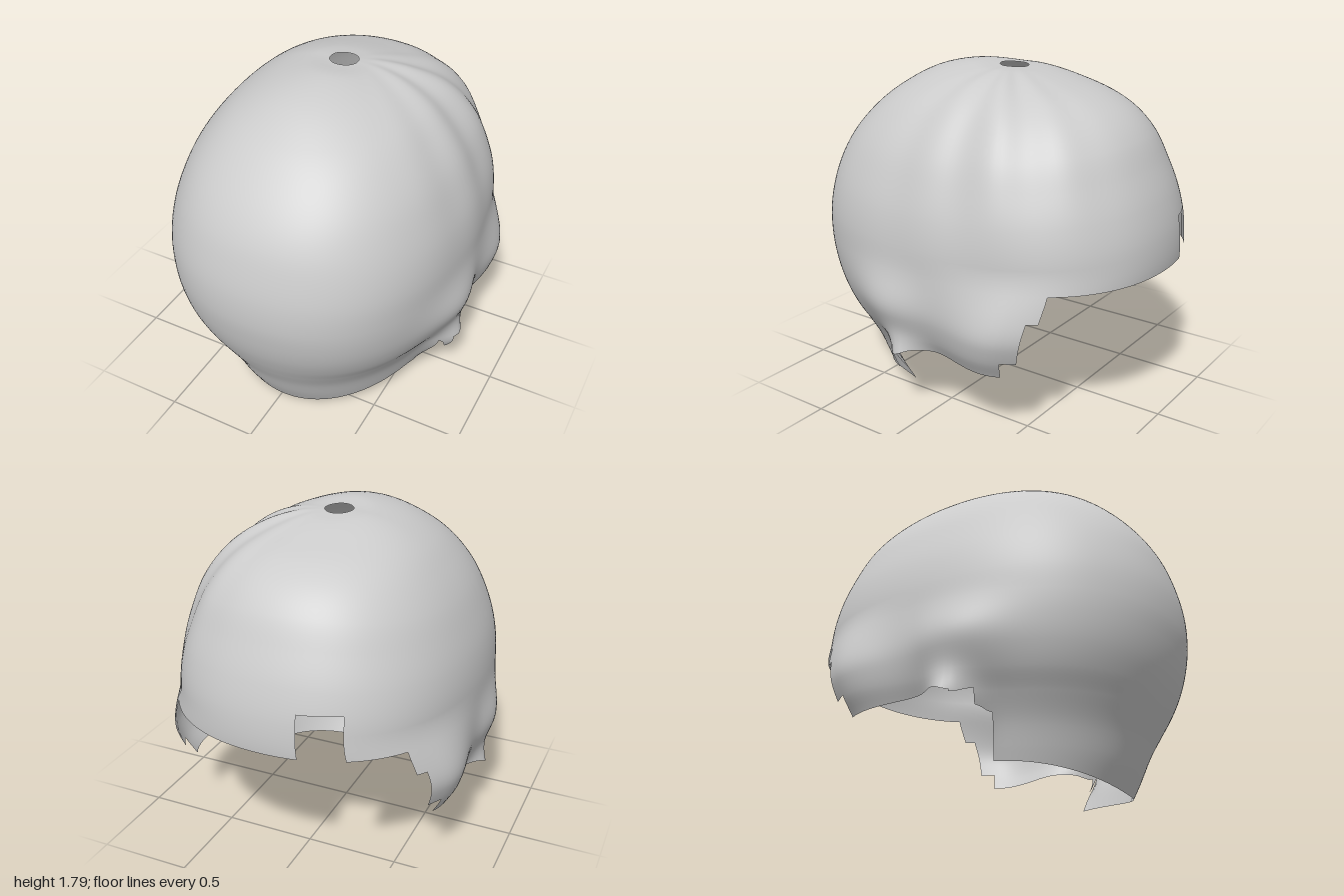
import * as THREE from 'three';

// Profile rows from the crown down: front z, y | side x, y | back z, y
const ROWS = [
  [0.005, 1.78, 0.075, 1.775, -0.145, 1.77],
  [0.16, 1.79, 0.19, 1.765, -0.25, 1.755],
  [0.4, 1.74, 0.34, 1.715, -0.42, 1.71],
  [0.6, 1.63, 0.475, 1.63, -0.6, 1.65],
  [0.74, 1.51, 0.58, 1.52, -0.73, 1.57],
  [0.85, 1.38, 0.665, 1.395, -0.82, 1.47],
  [0.92, 1.26, 0.73, 1.25, -0.895, 1.32],
  [0.965, 1.13, 0.775, 1.11, -0.955, 1.17],
  [0.995, 0.98, 0.797, 0.97, -0.995, 1.0],
  [0.998, 0.83, 0.797, 0.83, -1.0, 0.83],
  [0.978, 0.7, 0.787, 0.7, -0.97, 0.7],
  [0.945, 0.58, 0.77, 0.58, -0.93, 0.58],
  [0.9, 0.47, 0.74, 0.47, -0.88, 0.47],
  [0.85, 0.37, 0.69, 0.37, -0.83, 0.37],
  [0.785, 0.25, 0.635, 0.25, -0.78, 0.25],
  [0.72, 0.11, 0.592, 0.11, -0.7, 0.11],
  [0.66, 0, 0.56, 0, -0.6, 0],
];
const LAST = ROWS.length - 1;
const curveOf = (k) => new THREE.CatmullRomCurve3(ROWS.map((r) => new THREE.Vector3(r[k], r[k + 1], 0)));
const [frontCurve, sideCurve, backCurve] = [0, 2, 4].map(curveOf);
const bell = (v, mid, width) => Math.exp(-(((v - mid) / width) ** 2));
const { smoothstep, clamp } = THREE.MathUtils;

// Point on the cap: angle a from the front towards +x, row t
function capPoint(a, t) {
  const u = clamp(t / LAST, 0, 1);
  const s = Math.sin(a), c = Math.cos(a), w = Math.abs(a);
  const end = (c >= 0 ? frontCurve : backCurve).getPoint(u);
  const side = sideCurve.getPoint(u);
  // the crown opening sits behind the middle
  const mid = -0.07 * (1 - smoothstep(t, 0, 5));
  const p = new THREE.Vector3(side.x * s, end.y * c * c + side.y * s * s, mid + (end.x - mid) * Math.abs(c));
  // fuller corners, fading out towards the face
  const fade = c < 0 ? 1 : 1 - smoothstep(t, 9.5, 15);
  const full = 1 + 0.047 * smoothstep(t, 1, 4) * fade * Math.sin(2 * a) ** 2;
  p.x *= full;
  p.z *= full;
  // upright walls behind the ears
  p.x *= 1 + 0.18 * (1 - smoothstep(p.y, 0.55, 0.95)) * smoothstep(w, 1.6, 2.15);
  // gathered folds running from the crown
  const fold = (0.018 + 0.018 * Math.cos(14 * (a - 2.03))) * bell(a, 1.95, 0.5) * bell(t, 4.5, 3) * smoothstep(t, 0, 2);
  p.y -= 0.9;
  p.multiplyScalar(1 + fold);
  p.y += 0.9;
  // ear bulges and flared flaps
  const ear = 0.065 * bell(w, 1.41, 0.26) * bell(p.y, 0.63, 0.16);
  const flap = 0.15 * bell(w, 1.45, 0.14) * bell(p.y, 0.31, 0.14);
  p.x += Math.sign(s) * (ear + flap) + 0.01;
  return p;
}

// Row at which a column reaches height y
function rowAt(a, y) {
  let lo = 2, hi = LAST;
  for (let i = 0; i < 24; i++) {
    const mid = (lo + hi) / 2;
    if (capPoint(a, mid).y > y) lo = mid; else hi = mid;
  }
  return hi;
}

// Stepped hem of each side: start angle, end angle, start y, end y
const BACK_STEPS = [
  [1.4, 1.55, 0.36, 0.4],
  [1.55, 2.16, 0.4, 0.37],
  [2.16, 2.25, 0.475, 0.47],
  [2.25, 2.31, 0.7, 0.7],
];
const PLUS_SIDE = [
  [0, 1.33, 0, 0.11],
  [1.33, 1.4, 0.35, 0.26],
  ...BACK_STEPS,
  [2.31, Math.PI, 0.83, 0.83],
];
const MINUS_SIDE = [
  [0, 1.22, 0, 0.07],
  [1.22, 1.3, 0.28, 0.31],
  [1.3, 1.4, 0.38, 0.35],
  ...BACK_STEPS,
  [2.31, Math.PI - 0.5, 0.83, 0.83],
  [Math.PI - 0.5, Math.PI - 0.23, 1.06, 1.06],
  [Math.PI - 0.23, Math.PI, 0.83, 0.83],
];

// One panel of the cap, from the crown opening down to its part of the hem
function panel([a0, a1, y0, y1], sign, material) {
  const cols = Math.max(3, Math.ceil((a1 - a0) / 0.04));
  const step = 0.2, rows = LAST / step;
  const pos = [], nor = [], idx = [], ends = [];
  const e = 0.004;
  for (let i = 0; i <= cols; i++) {
    const f = i / cols;
    const a = sign * (a0 + (a1 - a0) * f);
    ends.push(rowAt(a, y0 + (y1 - y0) * smoothstep(f, 0, 1)));
    for (let j = 0; j <= rows; j++) {
      const t = Math.min(j * step, ends[i]);
      const p = capPoint(a, t);
      const down = capPoint(a, Math.min(t + e, LAST)).sub(capPoint(a, Math.max(t - e, 0)));
      const across = capPoint(a + e, t).sub(capPoint(a - e, t));
      const n = down.cross(across).normalize();
      pos.push(p.x, p.y, p.z);
      nor.push(n.x, n.y, n.z);
    }
  }
  for (let i = 0; i < cols; i++) {
    const deepest = Math.max(ends[i], ends[i + 1]);
    for (let j = 0; j < rows && j * step < deepest; j++) {
      const q = i * (rows + 1) + j, r = q + rows + 1;
      if (sign > 0) idx.push(q, q + 1, r, q + 1, r + 1, r);
      else idx.push(q, r, q + 1, q + 1, r, r + 1);
    }
  }
  const geo = new THREE.BufferGeometry();
  geo.setAttribute('position', new THREE.Float32BufferAttribute(pos, 3));
  geo.setAttribute('normal', new THREE.Float32BufferAttribute(nor, 3));
  geo.setIndex(idx);
  return new THREE.Mesh(geo, material);
}

export function createModel() {
  const model = new THREE.Group();
  model.name = 'hairCap';
  const grey = new THREE.MeshStandardMaterial({ color: 0xcccccc, side: THREE.DoubleSide });
  grey.name = 'light grey';
  for (const [name, steps, sign] of [['leftHalf', PLUS_SIDE, 1], ['rightHalf', MINUS_SIDE, -1]]) {
    const half = new THREE.Group();
    half.name = name;
    steps.forEach((step, i) => {
      const mesh = panel(step, sign, grey);
      mesh.name = `${name}Panel${i + 1}`;
      half.add(mesh);
    });
    model.add(half);
  }
  return model;
}
